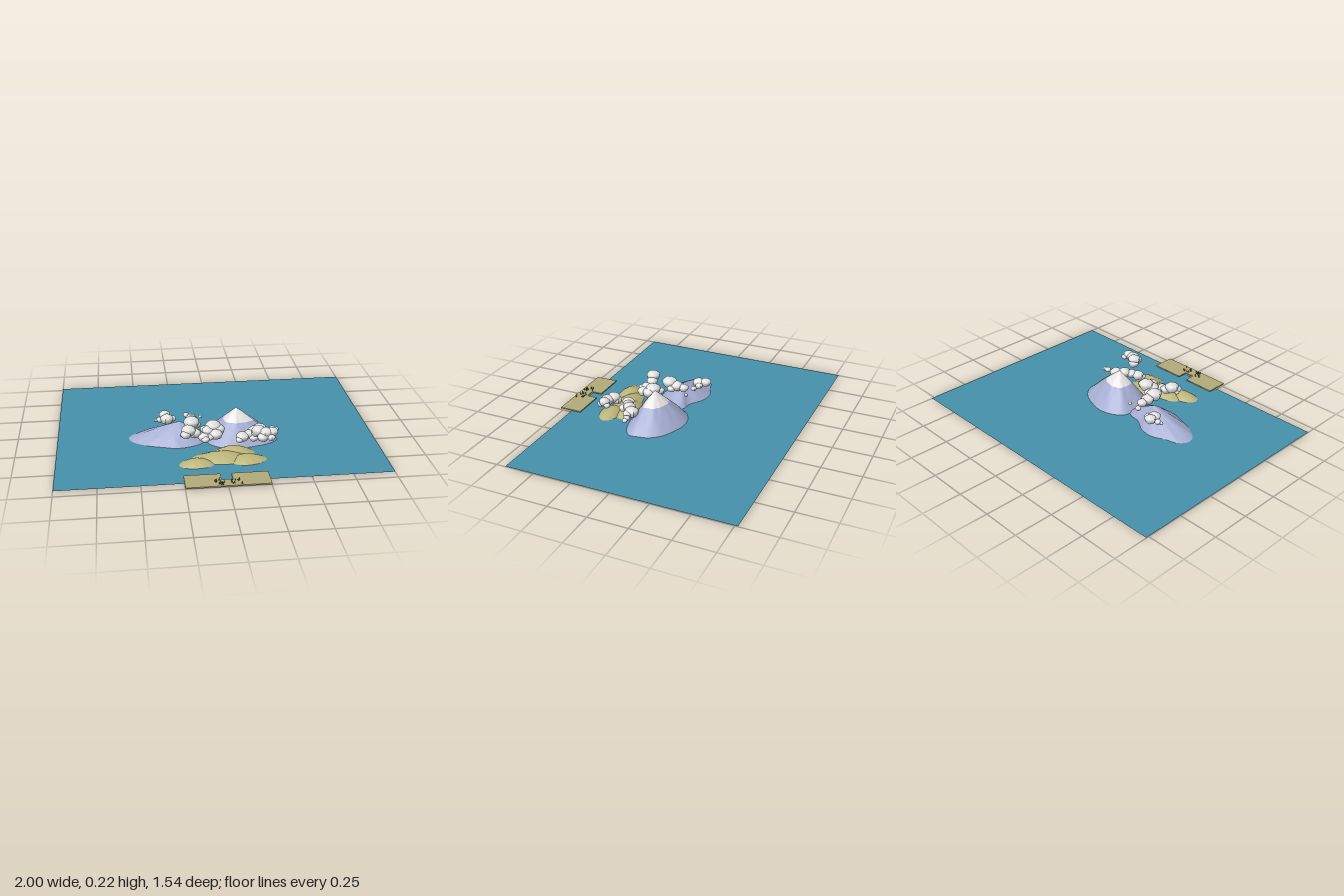
import * as THREE from 'three';

const mat = (name, color, side = THREE.FrontSide) => {
  const m = new THREE.MeshStandardMaterial({ color, side });
  m.name = name;
  return m;
};

// small seeded random
function seeded(seed) {
  let s = seed;
  return () => (s = (s * 16807) % 2147483647) / 2147483647;
}

export function createModel() {
  const model = new THREE.Group();
  const water = mat('water', 0x4690ab, THREE.DoubleSide);
  const rock = mat('rock', 0xa6aed2, THREE.DoubleSide);
  const snow = mat('snow', 0xe6e5e3, THREE.DoubleSide);
  const sand = mat('sand', 0xb2aa7a);
  const dune = mat('dune', 0xbcb57a, THREE.DoubleSide);
  const cloud = mat('cloud', 0xe2e2e2);
  const grass = mat('grass', 0x4c4e2c);

  const add = (name, geo, material, x = 0, y = 0, z = 0, parent = model) => {
    const m = new THREE.Mesh(geo, material);
    m.name = name;
    m.position.set(x, y, z);
    parent.add(m);
    return m;
  };

  // A hill shell: rings run from the peak out to a closed outline of [x, z] points
  function hill(name, peak, outline, profile, t0, t1, material, rough) {
    const curve = new THREE.CatmullRomCurve3(outline.map(([x, z]) => new THREE.Vector3(x, 0, z)), true);
    const n = 56, rings = 10, pos = [], idx = [];
    const rim = curve.getSpacedPoints(n);
    for (let r = 0; r <= rings; r++) {
      const t = t0 + (t1 - t0) * r / rings;
      for (let i = 0; i < n; i++) {
        const a = (i / n) * Math.PI * 2;
        const fold = 1 + rough * Math.sin(t * Math.PI) * (Math.sin(a * 9 + t * 5) + 0.6 * Math.sin(a * 14 - t * 7));
        const k = t * fold;
        pos.push(peak[0] + (rim[i].x - peak[0]) * k, peak[1] * profile(t), peak[2] + (rim[i].z - peak[2]) * k);
        if (r < rings) {
          const j = (i + 1) % n, a0 = r * n + i, a1 = r * n + j;
          idx.push(a0, a1, a0 + n, a1, a1 + n, a0 + n);
        }
      }
    }
    // keep the faces pointing up whichever way the outline runs
    const area = outline.reduce((s, [x, z], i) => {
      const [u, v] = outline[(i + 1) % outline.length];
      return s + x * v - u * z;
    }, 0);
    if (area < 0) { /* already upward */ } else {
      for (let i = 0; i < idx.length; i += 3) [idx[i + 1], idx[i + 2]] = [idx[i + 2], idx[i + 1]];
    }
    for (let i = 0; i < idx.length; i += 3) [idx[i + 1], idx[i + 2]] = [idx[i + 2], idx[i + 1]];
    const geo = new THREE.BufferGeometry();
    geo.setAttribute('position', new THREE.Float32BufferAttribute(pos, 3));
    geo.setIndex(upward(geo, idx));
    geo.computeVertexNormals();
    add(name, geo, material);
  }

  // flip the winding if the faces point down overall
  function upward(geo, idx) {
    const p = geo.attributes.position;
    let s = 0;
    for (let i = 0; i < idx.length; i += 3) {
      const [a, b, c] = [idx[i], idx[i + 1], idx[i + 2]];
      s += (p.getZ(b) - p.getZ(a)) * (p.getX(c) - p.getX(a)) - (p.getX(b) - p.getX(a)) * (p.getZ(c) - p.getZ(a));
    }
    if (s >= 0) return idx;
    const out = [];
    for (let i = 0; i < idx.length; i += 3) out.push(idx[i], idx[i + 2], idx[i + 1]);
    return out;
  }

  // Sea
  const sea = new THREE.PlaneGeometry(2, 1.46).rotateX(-Math.PI / 2);
  add('sea', sea, water, 0, 0.003, -0.04);

  // Snow-capped mountain
  const bigRim = [[0.12, -0.068], [0.22, -0.04], [0.3, 0], [0.36, 0.07], [0.375, 0.14], [0.38, 0.2], [0.31, 0.25],
    [0.2, 0.28], [0.1, 0.29], [0, 0.26], [-0.06, 0.2], [-0.065, 0.1], [-0.05, 0], [0.03, -0.055]];
  const bigPeak = [0.125, 0.215, 0.135];
  const cone = t => 1 - t + 0.03 * Math.sin(t * Math.PI);
  hill('snowCap', bigPeak, bigRim, cone, 0, 0.41, snow, 0.02);
  hill('mountain', bigPeak, bigRim, cone, 0.41, 1, rock, 0.02);

  // Long lower mountain
  const lowRim = [[-0.56, 0.07], [-0.52, 0.01], [-0.43, -0.02], [-0.34, -0.055], [-0.25, -0.04], [-0.15, 0.02],
    [-0.08, 0.03], [-0.03, 0.08], [-0.06, 0.16], [-0.13, 0.22], [-0.25, 0.25], [-0.35, 0.225], [-0.46, 0.185], [-0.54, 0.125]];
  hill('lowMountain', [-0.23, 0.118, 0.095], lowRim, t => 1 - t + 0.04 * Math.sin(t * Math.PI), 0, 1, rock, 0.03);

  // Sandy islands: x, z, radius x, radius z, height
  [[-0.155, 0.458, 0.112, 0.07, 0.034], [0.155, 0.44, 0.12, 0.075, 0.036],
    [0, 0.4, 0.18, 0.09, 0.042], [0.08, 0.34, 0.14, 0.075, 0.048]].forEach(([x, z, rx, rz, h], k) => {
    const rim = Array.from({ length: 14 }, (_, i) => {
      const a = i / 14 * Math.PI * 2, w = 1 + 0.04 * Math.sin(a * 3 + k * 2);
      return [x + rx * w * Math.cos(a), z + rz * w * Math.sin(a)];
    });
    hill('sandIsland' + (k + 1), [x, h, z], rim, t => 1 - Math.pow(t, 1.8), 0, 1, dune, 0.02);
  });

  // Beach: a slab with a notch at the back
  const beach = new THREE.Shape([[-0.25, -0.765], [0.25, -0.765], [0.25, -0.62], [0.032, -0.62], [0.032, -0.69],
    [-0.035, -0.69], [-0.035, -0.62], [-0.25, -0.62]].map(([x, y]) => new THREE.Vector2(x, y)));
  const slab = new THREE.ExtrudeGeometry(beach, { depth: 0.008, bevelEnabled: false }).rotateX(-Math.PI / 2);
  add('beach', slab, sand, 0, 0.009, 0);

  // Grass tufts on the beach
  const tufts = new THREE.Group();
  tufts.name = 'grassTufts';
  model.add(tufts);
  const rnd = seeded(41);
  for (let i = 0; i < 26; i++) {
    const h = 0.01 + rnd() * 0.016;
    const side = i % 2 ? 1 : -1;
    const blade = add('grassBlade', new THREE.ConeGeometry(0.0035, h, 5), grass,
      side * (0.018 + rnd() * 0.06), 0.016 + h / 2, 0.695 + rnd() * 0.06, tufts);
    blade.rotation.z = (rnd() - 0.5) * 0.5;
  }

  // Clouds: puffs as x, y, z, radius
  const clouds = {
    backCloud: [[-0.315, 0.108, -0.03, 0.037], [-0.305, 0.1, 0.015, 0.042], [-0.35, 0.09, 0.0, 0.022],
      [-0.27, 0.095, 0.0, 0.025], [-0.375, 0.088, 0.005, 0.013]],
    ridgeCloud: [[-0.16, 0.14, 0.165, 0.05], [-0.155, 0.125, 0.11, 0.042], [-0.155, 0.12, 0.06, 0.033],
      [-0.18, 0.115, 0.0, 0.02], [-0.13, 0.11, 0.14, 0.03], [-0.09, 0.105, 0.015, 0.013]],
    middleCloud: [[-0.03, 0.135, 0.225, 0.05], [0.0, 0.12, 0.24, 0.042], [-0.065, 0.118, 0.25, 0.04],
      [-0.02, 0.11, 0.29, 0.04], [-0.08, 0.105, 0.2, 0.03], [-0.06, 0.1, 0.305, 0.025]],
    leftFrontCloud: [[-0.19, 0.15, 0.3, 0.045], [-0.15, 0.125, 0.29, 0.038], [-0.21, 0.135, 0.325, 0.032],
      [-0.1, 0.105, 0.31, 0.034], [-0.09, 0.1, 0.335, 0.025], [-0.225, 0.125, 0.31, 0.018]],
    rightCloud: [[0.14, 0.1, 0.32, 0.04], [0.18, 0.105, 0.3, 0.035], [0.22, 0.11, 0.27, 0.042],
      [0.26, 0.105, 0.235, 0.045], [0.29, 0.1, 0.25, 0.03], [0.34, 0.1, 0.23, 0.022],
      [0.365, 0.095, 0.23, 0.018], [0.12, 0.09, 0.34, 0.025], [0.21, 0.09, 0.32, 0.03]],
    frontCloud: [[0.23, 0.165, 0.375, 0.042], [0.27, 0.16, 0.4, 0.042], [0.31, 0.165, 0.4, 0.035],
      [0.22, 0.145, 0.36, 0.035], [0.25, 0.14, 0.42, 0.035], [0.325, 0.15, 0.375, 0.022], [0.3, 0.14, 0.43, 0.025]],
  };
  // a lumpy, flattened puff
  const puff = new THREE.SphereGeometry(1, 18, 12);
  const p = puff.attributes.position;
  for (let i = 0; i < p.count; i++) {
    const x = p.getX(i), y = p.getY(i), z = p.getZ(i);
    const k = 0.96 + 0.06 * Math.sin(x * 5) * Math.cos(z * 5) + 0.04 * Math.sin(y * 6);
    p.setXYZ(i, x * k, y * k * 0.8, z * k);
  }
  puff.computeVertexNormals();
  for (const [name, puffs] of Object.entries(clouds)) {
    const g = new THREE.Group();
    g.name = name;
    model.add(g);
    puffs.forEach(([x, y, z, r], i) => {
      const m = add('puff', puff, cloud, x, y, z, g);
      m.scale.setScalar(r);
      m.rotation.y = i * 1.3;
    });
  }
  return model;
}
